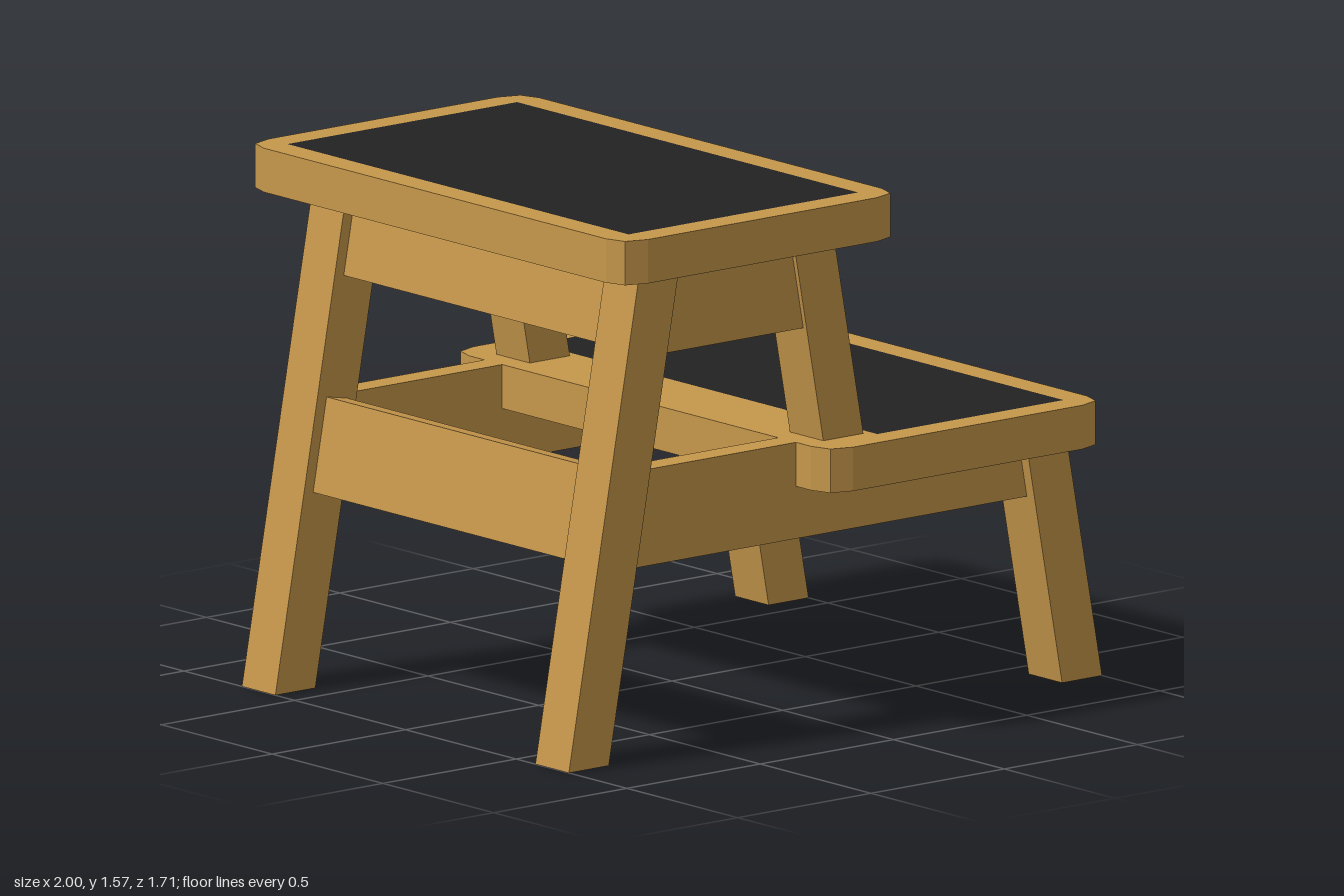
import * as THREE from 'three';

const wood = new THREE.MeshStandardMaterial({ color: 0xc6974b });
const rubber = new THREE.MeshStandardMaterial({ color: 0x222222 });

const SLOPE = 0.184;        // lean of every leg, x per unit of height
const LEG = 0.15;           // leg width
const BOARD = 0.08;         // board thickness
const INSET = 0.035;        // boards sit centred in the legs
const Z_IN = 0.587, Z_OUT = 0.738;
const STEP_HEIGHT = 0.13;

// Outer faces of the three leg lines at height y
const rear = (y) => -1 + SLOPE * y;
const upperFront = (y) => 0.26 - SLOPE * y;
const lowerFront = (y) => 1 - SLOPE * y;

const toShape = (pts) => new THREE.Shape(pts.map(([x, y]) => new THREE.Vector2(x, y)));

// Side profile in x/y, extruded from z0 to z1
function slab(name, pts, z0, z1) {
  const geo = new THREE.ExtrudeGeometry(toShape(pts), { depth: z1 - z0, bevelEnabled: false });
  geo.translate(0, 0, z0);
  const mesh = new THREE.Mesh(geo, wood);
  mesh.name = name;
  return mesh;
}

// The same profile on both sides of the stool
function pair(group, name, pts, z0, z1) {
  group.add(slab(name + 'Left', pts, z0, z1), slab(name + 'Right', pts, -z1, -z0));
}

// Leaning leg; dir points from the outer face inward
function legs(group, name, line, dir, y0, y1) {
  const w = dir * LEG;
  pair(group, name, [[line(y0), y0], [line(y0) + w, y0], [line(y1) + w, y1], [line(y1), y1]], Z_IN, Z_OUT);
}

// Leaning cross board between a pair of legs, with square-cut edges
function apron(group, name, line, dir, y0, y1) {
  const rise = BOARD * SLOPE;
  const outer = (y) => line(y) + dir * INSET;
  const inner = (y) => outer(y) + dir * BOARD;
  group.add(slab(name, [
    [outer(y0 + rise), y0 + rise], [inner(y0), y0],
    [inner(y1), y1], [outer(y1 + rise), y1 + rise],
  ], -Z_IN, Z_IN));
}

// Step: a frame with clipped corners around a pad; backRim is the width of its rear bar
function step(name, cx, top, backRim) {
  const hx = 0.5175, hz = 0.857, rim = 0.087;
  const corner = [[hx, hz - 0.085], [hx - 0.02, hz - 0.022], [hx - 0.087, hz]];
  const outline = [];
  for (const [sx, sz] of [[1, 1], [-1, 1], [-1, -1], [1, -1]]) {
    const c = corner.map(([x, z]) => [sx * x, sz * z]);
    outline.push(...(sx * sz > 0 ? c : c.reverse()));
  }
  const x0 = backRim - hx, x1 = hx - rim, pz = hz - rim;
  const shape = toShape(outline);
  shape.holes.push(new THREE.Path([[x0, -pz], [x0, pz], [x1, pz], [x1, -pz]]
    .map(([x, z]) => new THREE.Vector2(x, z))));
  const frameGeo = new THREE.ExtrudeGeometry(shape, { depth: STEP_HEIGHT, bevelEnabled: false });
  frameGeo.rotateX(-Math.PI / 2);
  frameGeo.translate(0, -STEP_HEIGHT, 0);
  const frame = new THREE.Mesh(frameGeo, wood);
  frame.name = name + 'Frame';

  const pad = new THREE.Mesh(new THREE.BoxGeometry(x1 - x0, STEP_HEIGHT, pz * 2), rubber);
  pad.name = name + 'Pad';
  pad.position.set((x0 + x1) / 2, -STEP_HEIGHT / 2, 0);

  const group = new THREE.Group();
  group.name = name;
  group.position.set(cx, top, 0);
  group.add(frame, pad);
  return group;
}

export function createModel() {
  const model = new THREE.Group();
  model.name = 'stepStool';
  const upperTop = 1.57, lowerTop = 0.845;
  const upperSeat = upperTop - STEP_HEIGHT, lowerSeat = lowerTop - STEP_HEIGHT; // undersides of the steps

  // The upper front legs stand on the wide rear bar of the lower step
  model.add(step('upperStep', -0.372, upperTop, 0.087), step('lowerStep', 0.398, lowerTop, 0.25));

  // Legs
  legs(model, 'rearLeg', rear, 1, 0, upperSeat);
  legs(model, 'upperFrontLeg', upperFront, -1, lowerTop, upperSeat);
  legs(model, 'lowerFrontLeg', lowerFront, -1, 0, lowerSeat);

  // Side rails
  const u0 = 1.185, l0 = 0.56, upperZ = Z_OUT - 0.015, lowerZ = Z_OUT - INSET;
  pair(model, 'upperSideRail', [
    [rear(u0) + LEG, u0], [upperFront(u0) - LEG, u0],
    [upperFront(upperSeat) - LEG, upperSeat], [rear(upperSeat) + LEG, upperSeat],
  ], upperZ - BOARD, upperZ);
  // The lower rail is notched under the lower step
  pair(model, 'lowerSideRail', [
    [rear(l0) + LEG, l0], [lowerFront(l0) - LEG, l0],
    [lowerFront(lowerSeat) - LEG, lowerSeat], [-0.119, lowerSeat],
    [-0.119, lowerTop], [rear(lowerTop) + LEG, lowerTop],
  ], lowerZ - BOARD, lowerZ);

  // Cross boards
  apron(model, 'upperRearApron', rear, 1, 1.19, upperSeat);
  apron(model, 'upperFrontApron', upperFront, -1, 1.19, upperSeat);
  apron(model, 'lowerRearApron', rear, 1, l0 + 0.005, lowerTop - 0.005);
  apron(model, 'lowerFrontApron', lowerFront, -1, l0 + 0.01, lowerSeat);

  return model;
}
